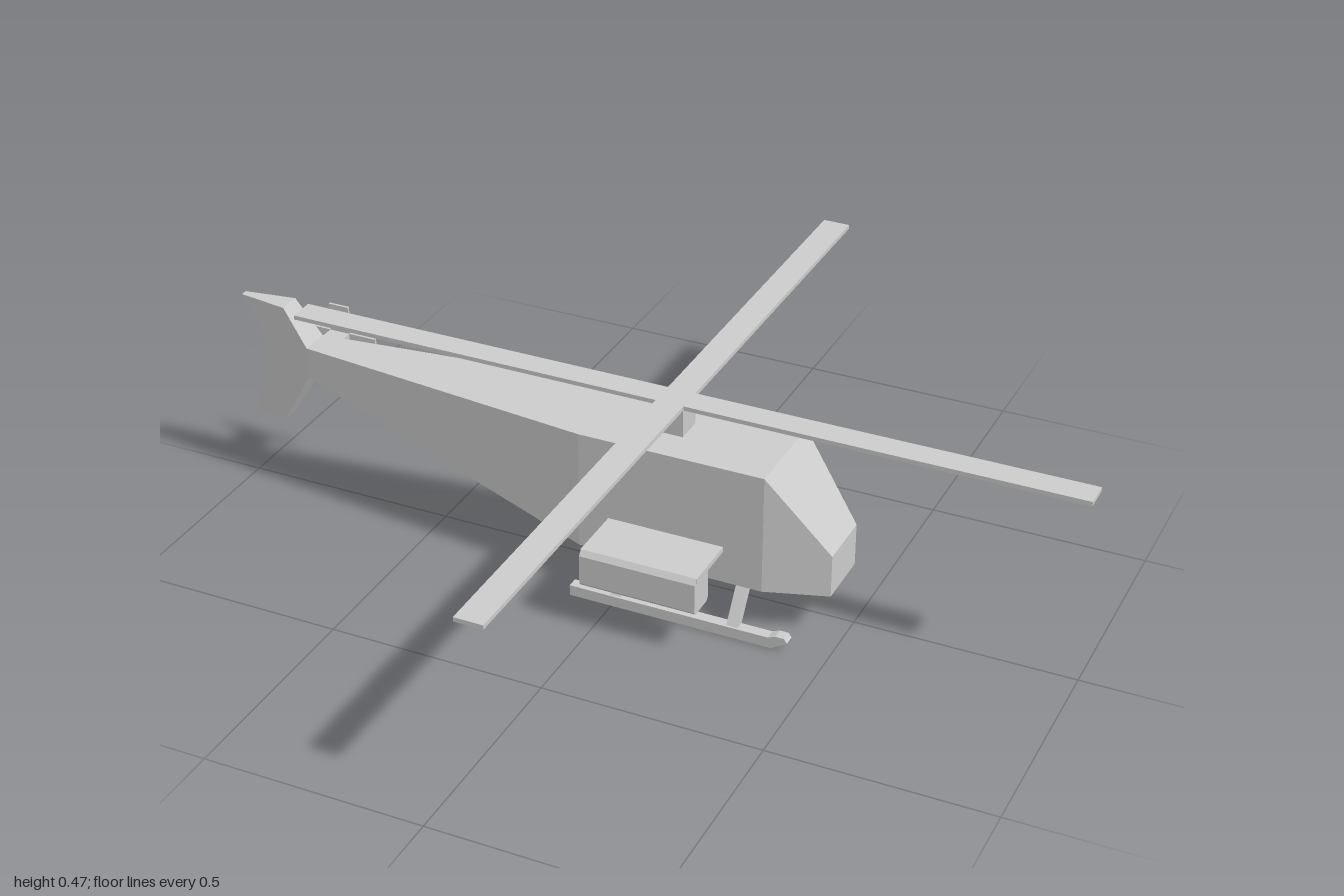
import * as THREE from 'three';
import { ConvexGeometry } from 'three/addons/geometries/ConvexGeometry.js';

const material = new THREE.MeshStandardMaterial({ color: 0xcccccc, flatShading: true });

function add(parent, name, geometry) {
  const mesh = new THREE.Mesh(geometry, material);
  mesh.name = name;
  parent.add(mesh);
  return mesh;
}

// Box given by its limits on each axis
function box(parent, name, [x0, x1], [y0, y1], [z0, z1]) {
  const g = new THREE.BoxGeometry(x1 - x0, y1 - y0, z1 - z0);
  g.translate((x0 + x1) / 2, (y0 + y1) / 2, (z0 + z1) / 2);
  return add(parent, name, g);
}

// Outline in x/y, extruded along z between z0 and z1
function plate(points, z0, z1) {
  const shape = new THREE.Shape(points.map(p => new THREE.Vector2(...p)));
  const g = new THREE.ExtrudeGeometry(shape, { depth: z1 - z0, bevelEnabled: false });
  return g.translate(0, 0, z0);
}

export function createModel() {
  const model = new THREE.Group();
  model.name = 'helicopter';

  // Fuselage: x, bottom, top, half width of each station
  const stations = [
    [-0.82, 0.305, 0.38, 0.035],
    [-0.1, 0.1, 0.38, 0.115],
    [0.33, 0.1, 0.38, 0.115],
    [0.47, 0.1, 0.2, 0.07],
  ];
  const corners = [];
  for (const [x, y0, y1, w] of stations)
    for (const y of [y0, y1])
      for (const z of [-w, w]) corners.push(new THREE.Vector3(x, y, z));
  add(model, 'fuselage', new ConvexGeometry(corners));

  // Tail fin, thinning towards the rear
  const fin = plate([
    [-1, 0.465], [-0.945, 0.395], [-0.945, 0.3], [-0.985, 0.17],
    [-0.9, 0.17], [-0.82, 0.305], [-0.82, 0.38], [-0.88, 0.465],
  ], -1, 1);
  const p = fin.attributes.position;
  for (let i = 0; i < p.count; i++)
    p.setZ(i, p.getZ(i) * (0.008 + (p.getX(i) + 1) * 0.15));
  fin.computeVertexNormals();
  add(model, 'tailFin', fin);

  // Main rotor
  const rotor = new THREE.Group();
  rotor.name = 'mainRotor';
  model.add(rotor);
  box(rotor, 'mast', [0.043, 0.107], [0.375, 0.446], [-0.032, 0.032]);
  box(rotor, 'longBlade', [-0.85, 1], [0.445, 0.455], [-0.031, 0.031]);
  for (const [z0, z1] of [[-0.925, -0.031], [0.031, 0.925]])
    box(rotor, 'crossBlade', [0.043, 0.107], [0.445, 0.455], [z0, z1]);

  // Tail rotor on the right side
  const tailRotor = new THREE.Group();
  tailRotor.name = 'tailRotor';
  model.add(tailRotor);
  box(tailRotor, 'tailShaft', [-0.84, -0.79], [0.308, 0.358], [-0.102, -0.02]);
  const a = 0.025, b = 0.092;
  const cross = [
    [a, a], [a, b], [-a, b], [-a, a], [-b, a], [-b, -a],
    [-a, -a], [-a, -b], [a, -b], [a, -a], [b, -a], [b, a],
  ].map(([x, y]) => [x - 0.815, y + 0.333]);
  add(tailRotor, 'tailBlades', plate(cross, -0.106, -0.1));

  // Wings, pods and landing gear on both sides
  for (const s of [1, -1]) {
    const side = new THREE.Group();
    side.name = s > 0 ? 'leftSide' : 'rightSide';
    model.add(side);
    const span = (z0, z1) => (s > 0 ? [z0, z1] : [-z1, -z0]);

    box(side, 'wing', [-0.03, 0.24], [0.176, 0.188], span(0.1, 0.25));

    // Pod with chamfered long edges, extruded along x
    const pod = plate([
      [0.19, 0.108], [0.197, 0.1], [0.253, 0.1], [0.26, 0.108],
      [0.26, 0.176], [0.25, 0.188], [0.19, 0.188],
    ].map(([z, y]) => [-s * z, y]), -0.029, 0.239);
    pod.rotateY(Math.PI / 2);
    add(side, 'pod', pod);

    const [z0, z1] = span(0.14, 0.166);
    add(side, 'skid', plate([
      [-0.1, 0], [0.375, 0], [0.412, 0.022], [0.405, 0.032],
      [0.385, 0.032], [0.368, 0.025], [-0.1, 0.025],
    ], z0, z1));

    // Slanted struts from belly to skid
    for (const x of [0.008, 0.283]) {
      const pts = [];
      for (const dx of [-0.013, 0.013])
        for (const [y, z] of [[0.11, 0.08], [0.11, 0.105], [0.02, 0.142], [0.02, 0.164]])
          pts.push(new THREE.Vector3(x + dx, y, s * z));
      add(side, 'strut', new ConvexGeometry(pts));
    }
  }
  return model;
}
